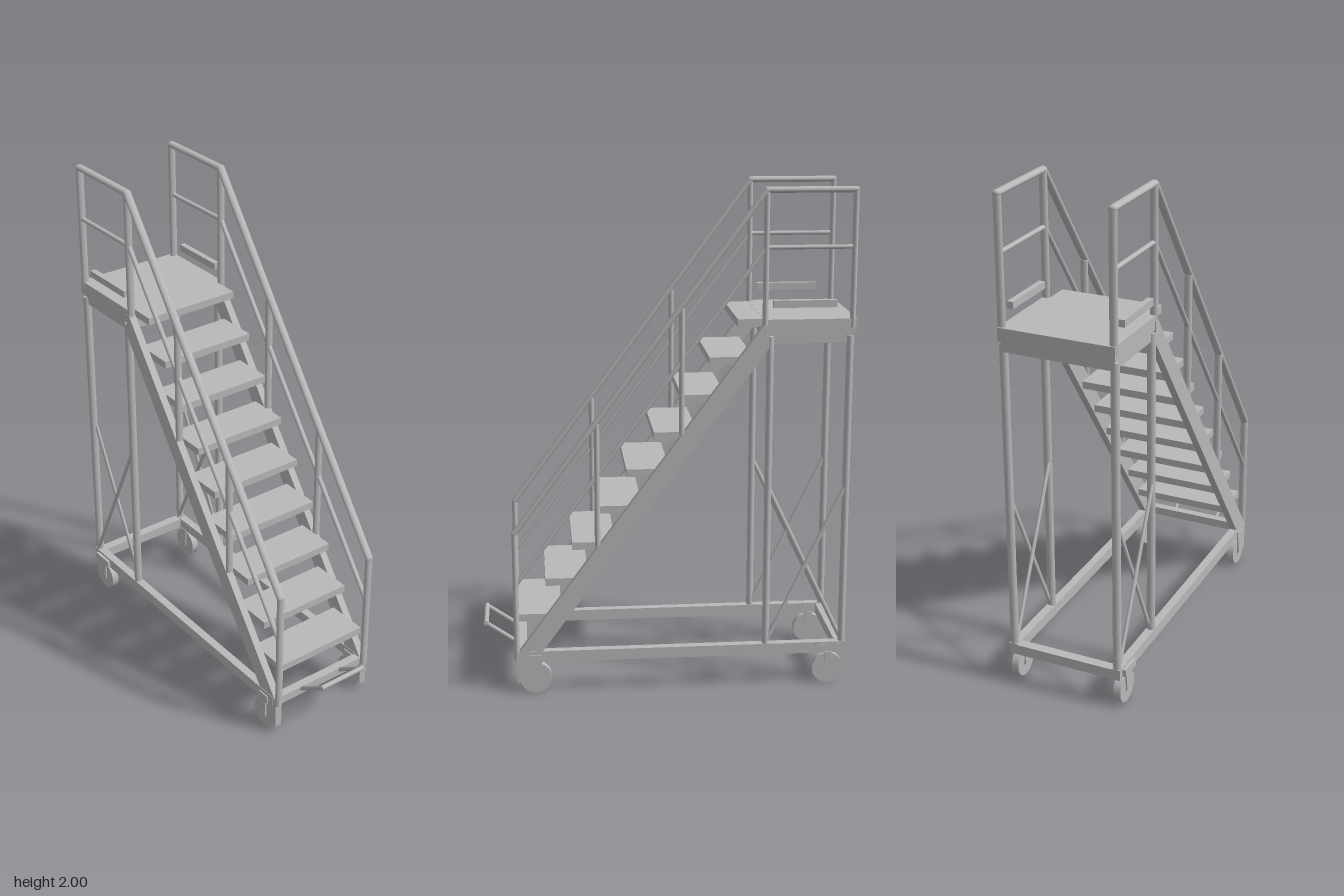
import * as THREE from 'three';

export function createModel() {
  const model = new THREE.Group();
  model.name = 'mobileStairs';
  const steel = new THREE.MeshStandardMaterial({ color: 0xb8b8b8 });
  steel.name = 'grey steel';

  const SIDE = 0.221; // z of the side frames

  function add(name, geometry, parent = model) {
    const mesh = new THREE.Mesh(geometry, steel);
    mesh.name = name;
    parent.add(mesh);
    return mesh;
  }

  // Box given by its limits on each axis
  function box(name, x0, x1, y0, y1, z0, z1, parent) {
    const g = new THREE.BoxGeometry(x1 - x0, y1 - y0, z1 - z0);
    g.translate((x0 + x1) / 2, (y0 + y1) / 2, (z0 + z1) / 2);
    return add(name, g, parent);
  }

  // Straight tube in the xy plane, oval in section (t in plane, w along z)
  function bar(name, a, b, t, w, z, parent) {
    const dx = b[0] - a[0], dy = b[1] - a[1];
    const g = new THREE.CylinderGeometry(0.5, 0.5, Math.hypot(dx, dy), 16);
    g.scale(t, 1, w);
    g.rotateZ(Math.atan2(-dx, dy));
    g.translate((a[0] + b[0]) / 2, (a[1] + b[1]) / 2, z);
    return add(name, g, parent);
  }

  // Rounded elbow where two tubes meet
  function elbow(p, t, w, z, parent) {
    const g = new THREE.SphereGeometry(0.5, 16, 10);
    g.scale(t, t, w);
    g.translate(p[0], p[1], z);
    add('railElbow', g, parent);
  }

  function caster(x, z, parent) {
    const wheel = new THREE.CylinderGeometry(0.063, 0.063, 0.03, 32);
    wheel.rotateX(Math.PI / 2);
    wheel.translate(x, 0.063, z);
    add('wheel', wheel, parent);
    for (const s of [-1, 1]) {
      const zc = z + s * 0.018;
      box('casterFork', x - 0.014, x + 0.014, 0.05, 0.135, zc - 0.003, zc + 0.003, parent);
    }
    const axle = new THREE.CylinderGeometry(0.01, 0.01, 0.044, 12);
    axle.rotateX(Math.PI / 2);
    axle.translate(x, 0.063, z);
    add('axle', axle, parent);
  }

  // Side frames, the same at both sides
  for (const s of [1, -1]) {
    const side = new THREE.Group();
    side.name = s > 0 ? 'frontSideFrame' : 'backSideFrame';
    model.add(side);
    const z = s * SIDE;

    // Stringer with plumb-cut ends
    const outline = new THREE.Shape([
      new THREE.Vector2(-0.39, 1.385), new THREE.Vector2(0.6, 0.035),
      new THREE.Vector2(0.6, 0.16), new THREE.Vector2(-0.37, 1.475),
      new THREE.Vector2(-0.39, 1.475),
    ]);
    const stringer = new THREE.ExtrudeGeometry(outline, { depth: 0.03, bevelEnabled: false });
    stringer.translate(0, 0, z - 0.015);
    add('stringer', stringer, side);

    // Base beam, tower posts and cross braces
    box('baseBeam', -0.72, 0.58, 0.13, 0.175, z - 0.017, z + 0.017, side);
    for (const x of [-0.706, -0.396]) bar('towerPost', [x, 0.14], [x, 1.43], 0.028, 0.034, z, side);
    bar('crossBrace', [-0.7, 0.82], [-0.4, 0.19], 0.018, 0.014, z - 0.007, side);
    bar('crossBrace', [-0.7, 0.19], [-0.4, 0.82], 0.018, 0.014, z + 0.007, side);

    // Handrail
    const rail = [[-0.714, 1.986], [-0.375, 1.986], [0.6, 0.665]];
    bar('topRail', rail[0], rail[1], 0.024, 0.034, z, side);
    bar('topRail', rail[1], rail[2], 0.024, 0.034, z, side);
    rail.forEach((p) => elbow(p, 0.024, 0.034, z, side));
    bar('midRail', [-0.714, 1.77], [-0.375, 1.77], 0.017, 0.02, z, side);
    bar('midRail', [-0.375, 1.77], [0.6, 0.45], 0.017, 0.02, z, side);

    // Rail posts: x, bottom, top
    const posts = [[-0.714, 1.46, 1.986], [-0.375, 1.44, 1.986], [-0.055, 1.05, 1.545],
      [0.275, 0.605, 1.1], [0.6, 0.14, 0.665]];
    for (const [x, y0, y1] of posts) bar('railPost', [x, y0], [x, y1], 0.022, 0.032, z, side);

    // Guard strip above the platform
    box('guardStrip', -0.65, -0.405, 1.54, 1.568, z - 0.012, z + 0.012, side);

    // Casters and their mounting plates
    caster(-0.65, z, side);
    caster(0.527, z, side);
    box('mountPlate', -0.695, -0.6, 0.135, 0.165, z - 0.018, z + s * 0.03 + (s > 0 ? 0 : 0.048), side);
    box('mountPlate', 0.502, 0.552, 0.125, 0.16, z - 0.022, z + 0.022, side);
  }

  // Platform
  box('platformDeck', -0.73, -0.37, 1.44, 1.495, -0.232, 0.232);
  box('platformUnderframe', -0.72, -0.39, 1.4, 1.44, -0.225, 0.225);

  // Treads
  for (let i = 0; i < 9; i++) {
    const x = 0.59 - i * 0.1077, y = 0.322 + i * 0.1465;
    box('tread', x - 0.17, x, y - 0.03, y, -0.206, 0.206);
  }

  // Cross beams of the base
  box('rearCrossBeam', -0.72, -0.68, 0.13, 0.172, -0.21, 0.21);
  box('frontCrossBeam', 0.56, 0.595, 0.135, 0.17, -0.21, 0.21);

  // Foot lever
  for (const z of [-0.1, 0.1]) bar('leverArm', [0.585, 0.155], [0.722, 0.25], 0.018, 0.014, z);
  const pedal = new THREE.CylinderGeometry(0.01, 0.01, 0.212, 12);
  pedal.rotateX(Math.PI / 2);
  pedal.translate(0.722, 0.25, 0);
  add('leverPedal', pedal);

  return model;
}
